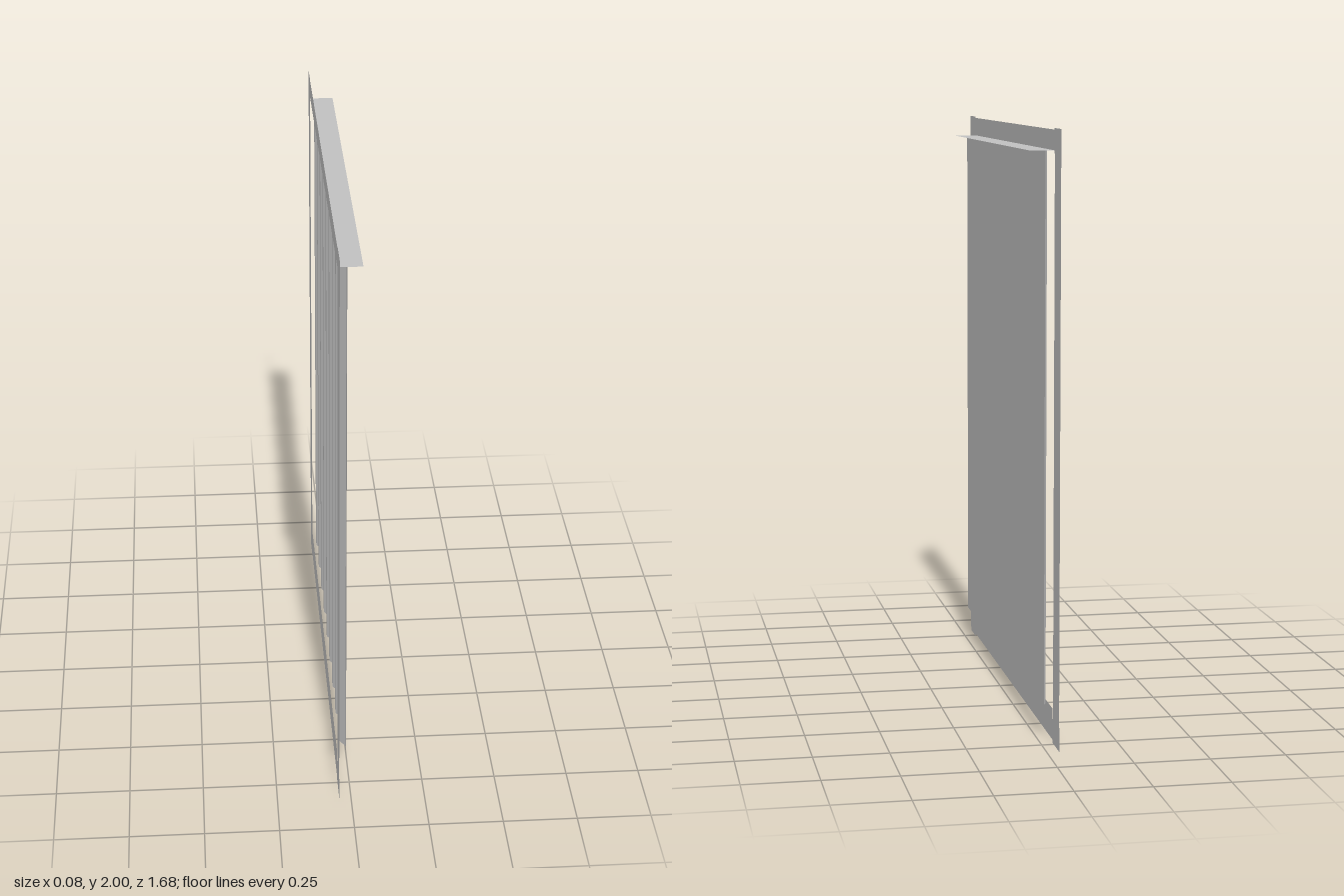
import * as THREE from 'three';

const FRAME_X = -0.04; // plane of the flat outer frame
const SHEET_X = -0.01; // plane of the panel sheet
const CREST_X = -0.03; // crest of the stiffening ribs
const PANEL_BOTTOM = 0.115, PANEL_TOP = 1.93;

export function createModel() {
  const group = new THREE.Group();
  const metal = new THREE.MeshStandardMaterial({ color: 0xc0c0c0, side: THREE.DoubleSide });
  metal.name = 'grey metal';

  const add = (name, geometry) => {
    const mesh = new THREE.Mesh(geometry, metal);
    mesh.name = name;
    group.add(mesh);
  };

  // Flat upright plate facing +x
  const plate = (name, x, z0, z1, y0, y1) => {
    const g = new THREE.PlaneGeometry(z1 - z0, y1 - y0);
    g.rotateY(Math.PI / 2);
    g.translate(x, (y0 + y1) / 2, (z0 + z1) / 2);
    add(name, g);
  };

  // Panel sheet and frame rails
  plate('panelSheet', SHEET_X, -0.735, 0.735, PANEL_BOTTOM, PANEL_TOP);
  plate('topRail', FRAME_X, -0.73, 0.73, PANEL_TOP, 1.995);
  plate('bottomRail', FRAME_X, -0.73, 0.73, 0.01, PANEL_BOTTOM);

  // Stiles and corner plates, mirrored across z
  for (const s of [-1, 1]) {
    const side = (name, a, b, y0, y1) =>
      plate(name, FRAME_X, Math.min(s * a, s * b), Math.max(s * a, s * b), y0, y1);
    side('stile', 0.737, 0.835, 0.08, 1.92);
    side('topCorner', 0.73, 0.84, 1.92, 2);
    side('bottomCorner', 0.73, 0.84, 0, 0.08);
  }

  // Horizontal ledge across the top of the panel
  const ledge = new THREE.PlaneGeometry(0.08, 1.46);
  ledge.rotateX(-Math.PI / 2);
  ledge.translate(0, PANEL_TOP, 0);
  add('topLedge', ledge);

  // Vertical trapezoid ribs on the back of the sheet, open at the ends
  const profile = [[SHEET_X, -0.051], [CREST_X, -0.016], [CREST_X, 0.016], [SHEET_X, 0.051]];
  const pitch = 0.162;
  for (let i = -4; i <= 4; i++) {
    const pos = [];
    for (let k = 0; k < 3; k++) {
      const [xa, za] = profile[k], [xb, zb] = profile[k + 1];
      const z = i * pitch;
      const a = [xa, PANEL_BOTTOM, z + za], b = [xb, PANEL_BOTTOM, z + zb];
      const c = [xb, PANEL_TOP, z + zb], d = [xa, PANEL_TOP, z + za];
      pos.push(...a, ...b, ...c, ...a, ...c, ...d);
    }
    const rib = new THREE.BufferGeometry();
    rib.setAttribute('position', new THREE.Float32BufferAttribute(pos, 3));
    rib.computeVertexNormals();
    add('rib', rib);
  }

  return group;
}
